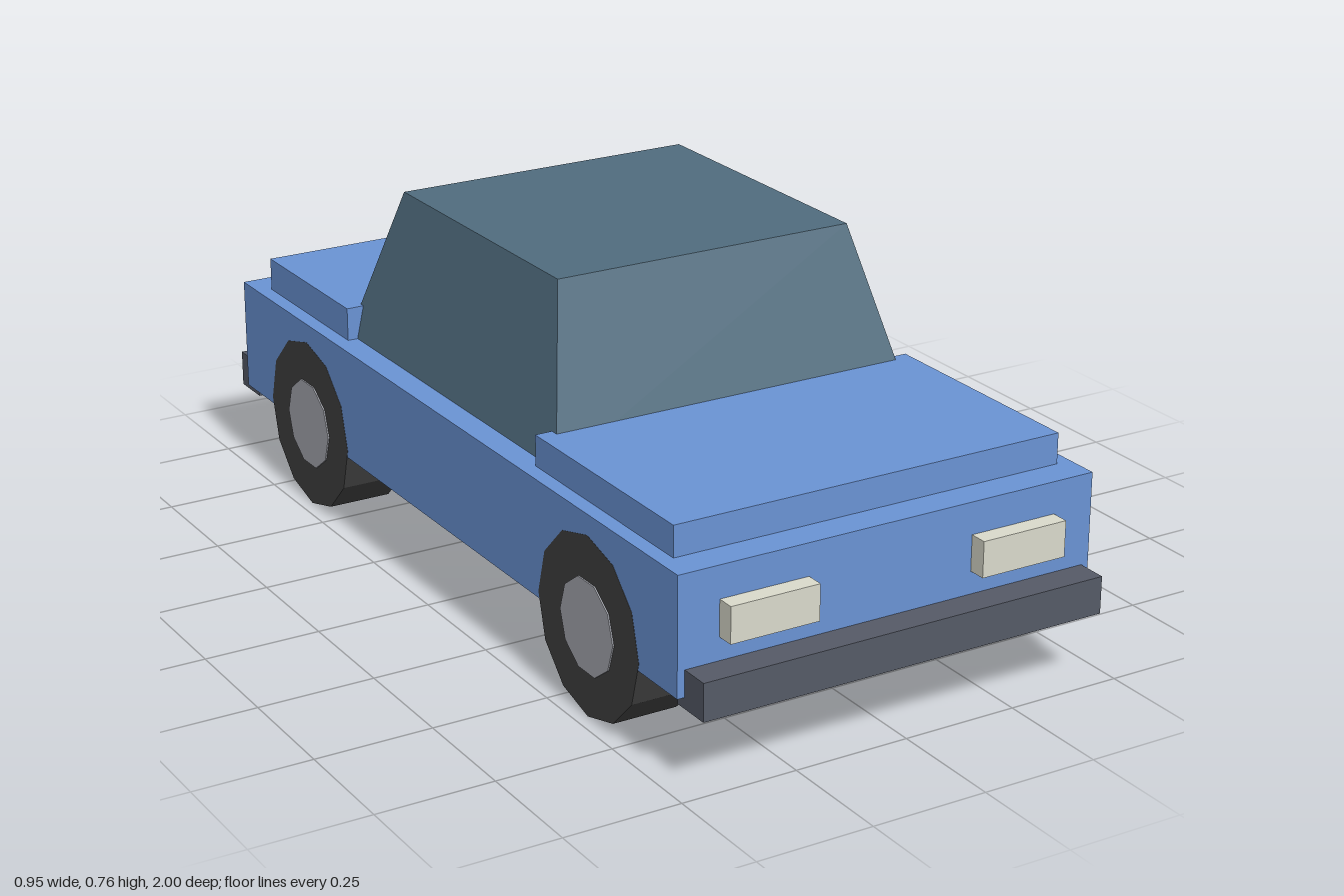
import * as THREE from 'three';

const mat = (color) => new THREE.MeshStandardMaterial({ color, flatShading: true });

export function createModel() {
  const car = new THREE.Group();
  car.name = 'car';
  const paint = mat(0x6a93d4), glass = mat(0x506c7e), trim = mat(0x555a66);
  const rubber = mat(0x404040), metal = mat(0xa6a8b0);
  const lamp = mat(0xdadacb), tailRed = mat(0xe0524a);

  const add = (name, geometry, material) => {
    const mesh = new THREE.Mesh(geometry, material);
    mesh.name = name;
    car.add(mesh);
    return mesh;
  };
  // Box given by its limits on each axis
  const box = (name, material, [x0, x1], [y0, y1], [z0, z1]) => {
    const g = new THREE.BoxGeometry(x1 - x0, y1 - y0, z1 - z0);
    g.translate((x0 + x1) / 2, (y0 + y1) / 2, (z0 + z1) / 2);
    return add(name, g, material);
  };

  // Body, hood and trunk lid
  box('body', paint, [-0.471, 0.471], [0.175, 0.423], [-0.934, 0.935]);
  box('hood', paint, [-0.438, 0.438], [0.4, 0.488], [0.354, 0.866]);
  box('trunkLid', paint, [-0.438, 0.438], [0.4, 0.495], [-0.857, -0.469]);

  // Cabin: a box tapered towards the roof
  const cabin = new THREE.BoxGeometry(1, 1, 1);
  const p = cabin.attributes.position;
  for (let i = 0; i < p.count; i++) {
    const top = p.getY(i) > 0, front = p.getZ(i) > 0;
    const x = top ? 0.339 : 0.416;
    const z = top ? (front ? 0.273 : -0.38) : (front ? 0.397 : -0.509);
    p.setXYZ(i, Math.sign(p.getX(i)) * x, top ? 0.765 : 0.42, z);
  }
  cabin.computeVertexNormals();
  add('cabin', cabin, glass);

  // Bumpers
  box('frontBumper', trim, [-0.455, 0.455], [0.152, 0.231], [0.911, 1]);
  box('rearBumper', trim, [-0.455, 0.455], [0.152, 0.231], [-1, -0.911]);

  for (const [side, s] of [['left', 1], ['right', -1]]) {
    // Lights
    const x = s > 0 ? [0.186, 0.381] : [-0.381, -0.186];
    box(side + 'Headlight', lamp, x, [0.279, 0.355], [0.9, 0.973]);
    box(side + 'TailLight', tailRed, x, [0.279, 0.355], [-0.971, -0.9]);

    // Wheels: tyre with a hub running through it
    for (const [end, z] of [['Front', 0.61], ['Rear', -0.61]]) {
      const tyre = new THREE.CylinderGeometry(0.19, 0.19, 0.141, 12).rotateZ(Math.PI / 2);
      const hub = new THREE.CylinderGeometry(0.1, 0.1, 0.147, 10).rotateZ(Math.PI / 2);
      add(side + end + 'Tyre', tyre, rubber).position.set(s * 0.401, 0.19, z);
      add(side + end + 'Hub', hub, metal).position.set(s * 0.401, 0.19, z);
    }
  }
  return car;
}
